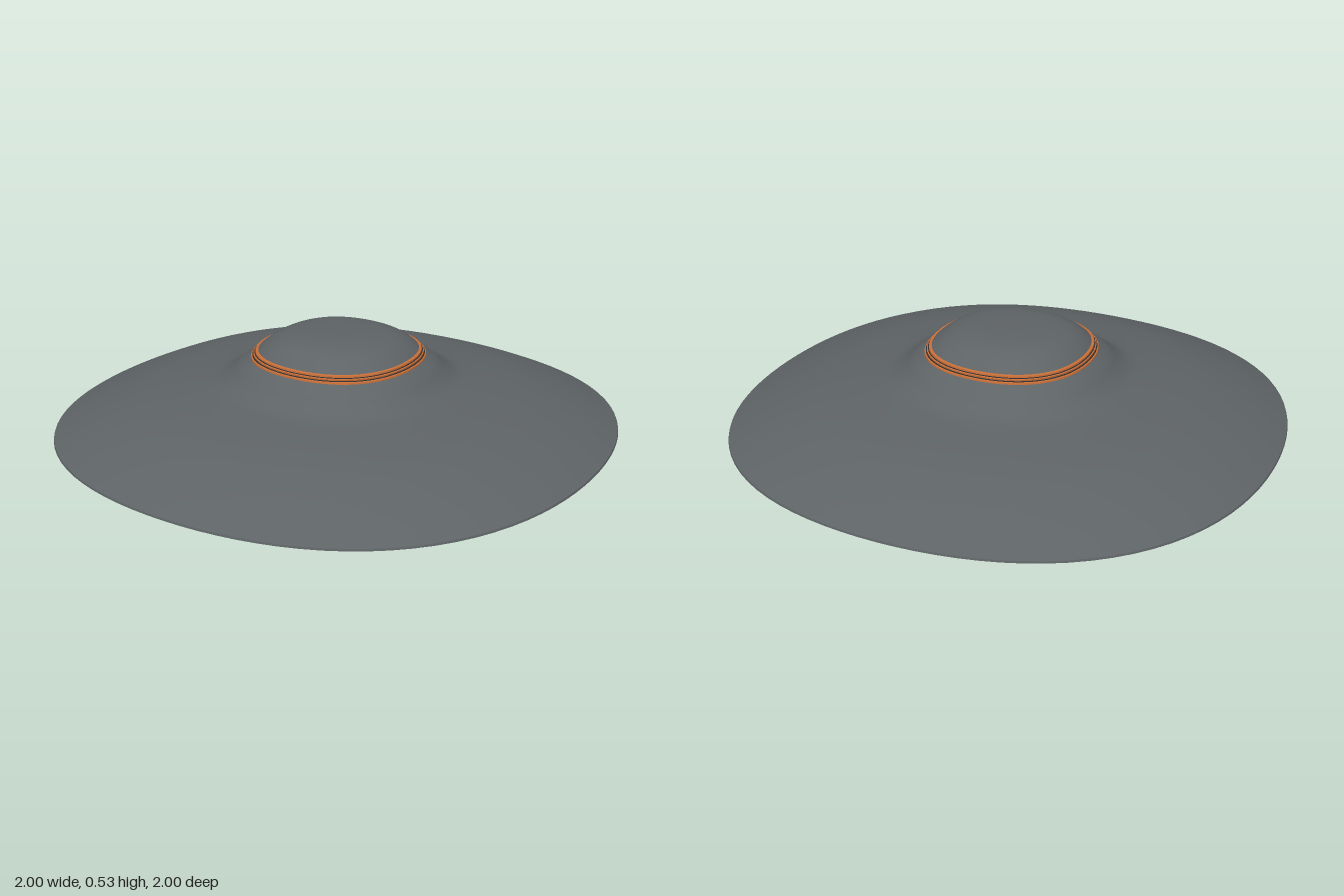
import * as THREE from 'three';
import { toCreasedNormals } from 'three/addons/utils/BufferGeometryUtils.js';

const material = (name, color) => new THREE.MeshStandardMaterial({ name, color });

// Slightly squared circle: radius grows a little on the diagonals
const bulge = (x, z) => 1 + 0.02 * (1 - Math.cos(4 * Math.atan2(z, x)));

// Revolved profile, listed from bottom centre outward and up; smooth except at sharp steps
function revolve(name, points, mat, squared = false, crease = 0.5) {
  const geo = new THREE.LatheGeometry(points.map(([r, y]) => new THREE.Vector2(r, y)), 96);
  if (squared) {
    const p = geo.attributes.position;
    for (let i = 0; i < p.count; i++) {
      const k = bulge(p.getX(i), p.getZ(i));
      p.setX(i, p.getX(i) * k);
      p.setZ(i, p.getZ(i) * k);
    }
  }
  const mesh = new THREE.Mesh(toCreasedNormals(geo, crease), mat);
  mesh.name = name;
  return mesh;
}

// Smooth curve through a few profile points
const smooth = (pts, n) =>
  new THREE.SplineCurve(pts.map(([r, y]) => new THREE.Vector2(r, y))).getPoints(n).map((v) => [v.x, v.y]);

// Copies a mesh evenly around the vertical axis
function around(name, count, make) {
  const group = new THREE.Group();
  group.name = name;
  for (let i = 0; i < count; i++) {
    const spoke = new THREE.Group();
    spoke.rotation.y = ((i + 0.5) / count) * Math.PI * 2;
    spoke.add(make());
    group.add(spoke);
  }
  return group;
}

export function createModel() {
  const hull = material('hull grey', 0x5e6366);
  const under = material('underside charcoal', 0x3c3e41);
  const finGrey = material('fin grey', 0x55595c);
  const orange = material('glow orange', 0xc96f38);
  const dark = material('dark metal', 0x2e3032);
  const model = new THREE.Group();
  model.name = 'saucer';

  // Upper shell and dome
  model.add(revolve('upperShell', [[0.985, 0.188], [1, 0.193], [0.998, 0.2],
    ...smooth([[0.99, 0.204], [0.9, 0.244], [0.8, 0.281], [0.7, 0.311], [0.6, 0.331], [0.5, 0.347],
      [0.43, 0.362], [0.385, 0.388], [0.35, 0.417], [0.31, 0.442]], 40)], hull, true));
  model.add(revolve('dome', smooth([[0.285, 0.466], [0.26, 0.487], [0.225, 0.508], [0.18, 0.523],
    [0.12, 0.531], [0.06, 0.533], [0, 0.533]], 24), hull, true));

  // Glowing band with dark seams around the dome
  model.add(revolve('domeBand', [[0.31, 0.442], [0.309, 0.448], [0.3, 0.45], [0.301, 0.457],
    [0.294, 0.459], [0.293, 0.466], [0.28, 0.468]], orange, true));
  [[0.3045, 0.4505], [0.297, 0.4595]].forEach(([r, y]) =>
    model.add(revolve('bandSeam', [[r - 0.003, y - 0.001], [r, y - 0.001], [r, y + 0.001], [r - 0.004, y + 0.001]], dark, true)));

  // Underside with shallow concentric steps
  const steps = [[0.54, 0.15], [0.64, 0.165]];
  for (let r = 0.68; r < 0.86; r += 0.04) {
    const y = 0.167 + (r - 0.66) * 0.06;
    steps.push([r, y], [r, y + 0.003]);
  }
  steps.push([0.9, 0.185], [0.985, 0.188]);
  model.add(revolve('underside', steps, under, true));

  // Small lights on the underside
  model.add(around('undersideLights', 12, () => {
    const light = new THREE.Mesh(new THREE.CylinderGeometry(0.006, 0.006, 0.006, 8), orange);
    light.name = 'light';
    light.position.set(0.82, 0.177, 0);
    return light;
  }));

  // Ring of pointed fins with a glow between them
  const finShape = new THREE.LatheGeometry([[0, -0.055], [0.016, -0.055], [0.021, -0.02], [0.02, 0.015],
    [0.012, 0.045], [0, 0.062]].map(([r, y]) => new THREE.Vector2(r, y)), 8);
  model.add(around('fins', 40, () => {
    const fin = new THREE.Mesh(finShape, finGrey);
    fin.name = 'fin';
    fin.position.set(0.595, 0.142, 0);
    fin.rotation.z = -Math.PI / 2 + 0.42;
    return fin;
  }));
  const glowBox = new THREE.BoxGeometry(0.03, 0.016, 0.032);
  const glows = around('finGlows', 40, () => {
    const glow = new THREE.Mesh(glowBox, orange);
    glow.name = 'finGlow';
    glow.position.set(0.555, 0.127, 0);
    return glow;
  });
  glows.rotation.y = Math.PI / 40;
  model.add(glows);

  // Lower disc tapering to the nozzle collar
  model.add(revolve('lowerDisc', [[0.235, 0.018], [0.25, 0.014], [0.258, 0.018], [0.258, 0.036], [0.275, 0.044],
    [0.4, 0.058], [0.545, 0.077], [0.552, 0.08], [0.552, 0.108], [0.558, 0.112], [0.558, 0.12], [0.54, 0.122], [0.53, 0.15]], under));

  // Glowing bowl and central emitter
  model.add(revolve('nozzleBowl', smooth([[0.09, 0.105], [0.15, 0.088], [0.2, 0.055], [0.235, 0.018]], 16), orange));
  model.add(revolve('emitter', [[0, 0], [0.04, 0.002], [0.062, 0.01], [0.07, 0.024], [0.066, 0.038],
    [0.08, 0.048], [0.11, 0.062], [0.125, 0.08], [0.12, 0.105]], dark, false, 0.7));
  const rib = new THREE.BoxGeometry(0.05, 0.03, 0.012);
  model.add(around('emitterRibs', 12, () => {
    const mesh = new THREE.Mesh(rib, dark);
    mesh.name = 'emitterRib';
    mesh.position.set(0.1, 0.068, 0);
    mesh.rotation.z = 0.5;
    return mesh;
  }));
  return model;
}
